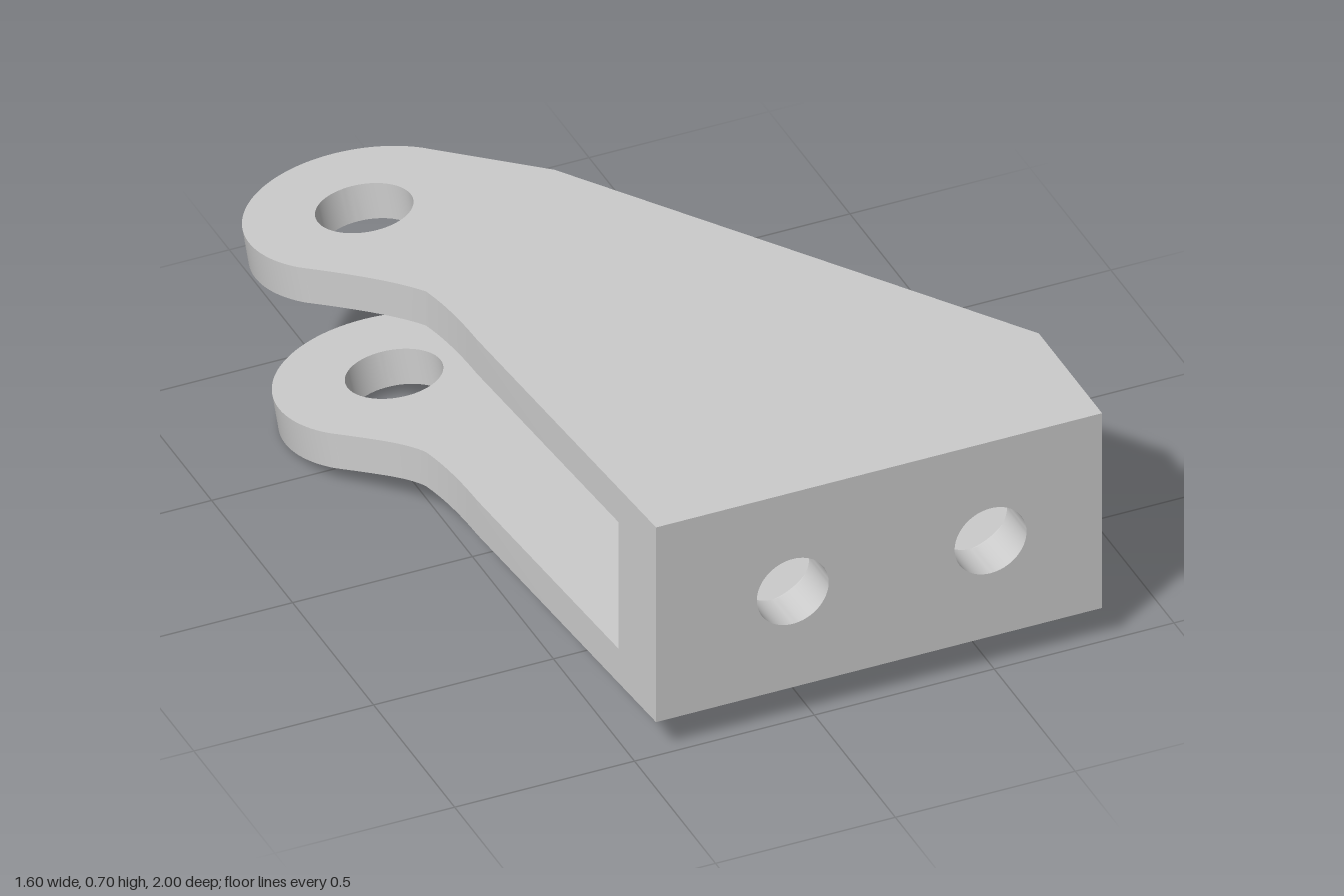
import * as THREE from 'three';
import { toCreasedNormals } from 'three/addons/utils/BufferGeometryUtils.js';

const material = new THREE.MeshStandardMaterial({ color: 0xcccccc });
const BOTTOM = 0.105, TOP = 0.705, PLATE = 0.105;   // heights of the bracket
const EAR = { x: -0.49, y: 0.69, r: 0.31, hole: 0.125 };
const BEND = [-0.02, -0.56];                        // point (x, z) on the bend line
const DIR = [-0.572, -0.82];                        // ear direction, square to the bend line
const SLOPE = 0.178;                                // droop of the ears

function addMesh(group, name, geometry) {
  const mesh = new THREE.Mesh(toCreasedNormals(geometry, 0.5), material);
  mesh.name = name;
  group.add(mesh);
}

// Plan shapes are drawn as (x, -z) and extruded upwards from y
function extrudeUp(shape, y, height) {
  const g = new THREE.ExtrudeGeometry(shape, { depth: height, bevelEnabled: false, curveSegments: 40 });
  return g.rotateX(-Math.PI / 2).translate(0, y, 0);
}

// Flat part of an arm, in front of the bend
function armShape() {
  const s = new THREE.Shape();
  s.moveTo(-0.02, 0.56);
  s.lineTo(-0.54, 0.2);
  s.quadraticCurveTo(-0.513, 0.1, -0.51, -0.05);
  s.lineTo(-0.44, -1);
  s.lineTo(0.8, -1);
  s.lineTo(0.8, -0.61);
  return s;
}

// Rounded end of an arm with its pin hole
function earShape() {
  const s = new THREE.Shape();
  s.moveTo(-0.02, 0.56);
  s.lineTo(-0.236, 0.867);
  s.absarc(EAR.x, EAR.y, EAR.r, 0.609, 3.73, false);
  s.quadraticCurveTo(-0.59, 0.32, -0.54, 0.2);
  const hole = new THREE.Path();
  hole.absarc(EAR.x, EAR.y, EAR.hole, 0, Math.PI * 2, true);
  s.holes.push(hole);
  return s;
}

// Tilt an ear down beyond the bend line; its outline and hole lean with it
function bendDown(geometry) {
  const p = geometry.attributes.position;
  for (let i = 0; i < p.count; i++) {
    const s = (p.getX(i) - BEND[0]) * DIR[0] + (p.getZ(i) - BEND[1]) * DIR[1];
    const reach = Math.min(1, Math.max(0, s / 0.25));
    const back = (TOP - p.getY(i)) * SLOPE * reach;
    p.setXYZ(i,
      p.getX(i) - DIR[0] * back,
      p.getY(i) - Math.max(0, s - back) * SLOPE,
      p.getZ(i) - DIR[1] * back);
  }
  return geometry;
}

// One layer of the front wall, pierced by two round holes
function wallLayer(z, depth, radius) {
  const y0 = BOTTOM + PLATE, y1 = TOP - PLATE;
  const s = new THREE.Shape();
  s.moveTo(-0.44, y0);
  s.lineTo(0.8, y0);
  s.lineTo(0.8, y1);
  s.lineTo(-0.44, y1);
  for (const x of [-0.06, 0.49]) {
    const hole = new THREE.Path();
    hole.absarc(x, 0.4, radius, 0, Math.PI * 2, true);
    s.holes.push(hole);
  }
  const g = new THREE.ExtrudeGeometry(s, { depth, bevelEnabled: false, curveSegments: 32 });
  g.translate(0, 0, z);
  // the left end follows the tapered edge of the arms
  const p = g.attributes.position;
  for (let i = 0; i < p.count; i++) {
    if (p.getX(i) < -0.43) p.setX(i, -0.44 - 0.0737 * (1 - p.getZ(i)));
  }
  return g;
}

export function createModel() {
  const bracket = new THREE.Group();
  bracket.name = 'bracket';

  // Upper and lower arms with drooping ears
  for (const [name, y] of [['lower', BOTTOM], ['upper', TOP - PLATE]]) {
    const arm = new THREE.Group();
    arm.name = name + 'Arm';
    addMesh(arm, name + 'Plate', extrudeUp(armShape(), y, PLATE));
    addMesh(arm, name + 'Ear', bendDown(extrudeUp(earShape(), y, PLATE)));
    bracket.add(arm);
  }

  // Front wall: bolt holes, counterbored from behind
  const wall = new THREE.Group();
  wall.name = 'frontWall';
  addMesh(wall, 'boltHoleLayer', wallLayer(0.88, 0.12, 0.1));
  addMesh(wall, 'counterboreLayer', wallLayer(0.8, 0.08, 0.165));
  bracket.add(wall);

  // Centre rib between the arms, cut off flush with the sloping edge
  const rib = new THREE.Shape();
  rib.moveTo(0.19, -0.8);
  rib.lineTo(0.265, -0.8);
  rib.lineTo(0.265, 0.153);
  rib.lineTo(0.19, 0.26);
  addMesh(bracket, 'centreRib', extrudeUp(rib, BOTTOM + PLATE, TOP - BOTTOM - 2 * PLATE));

  return bracket;
}
